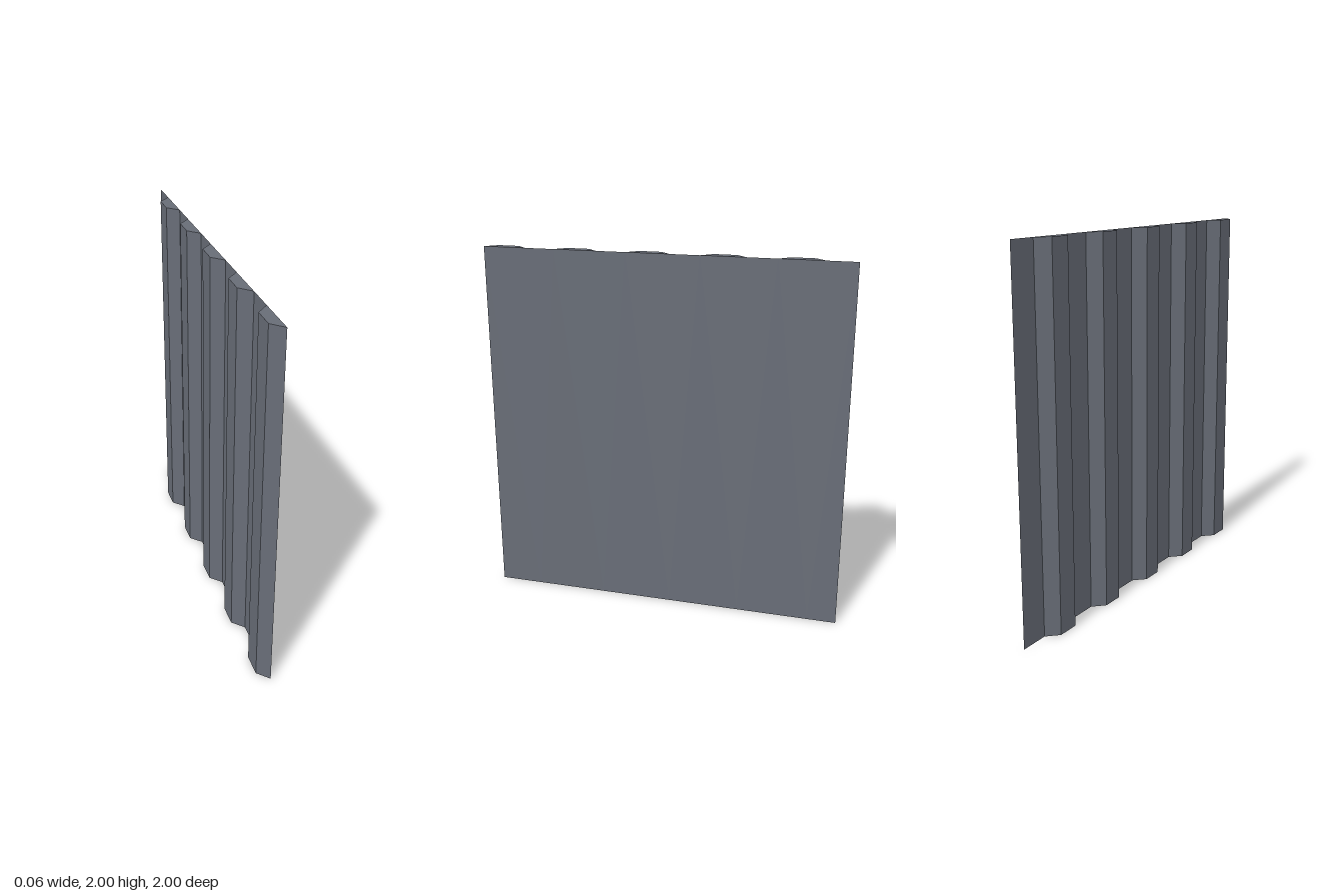
import * as THREE from 'three';

const HEIGHT = 2;
const FACE_X = 0.03; // flat side
const RIB_X = -0.03; // crest of the ribs
const PITCH = 0.4;
const RIB_WIDTH = 0.24;
const SLOPE = 0.06;

export function createModel() {
  const group = new THREE.Group();
  group.name = 'ribbedWallPanel';
  const steel = new THREE.MeshStandardMaterial({ color: 0x686d77, side: THREE.DoubleSide });
  steel.name = 'greySteel';

  // Trapezoid rib section, centred on its own width (shape y becomes -z)
  const h = RIB_WIDTH / 2;
  const section = new THREE.Shape([
    new THREE.Vector2(FACE_X, -h),
    new THREE.Vector2(FACE_X, h),
    new THREE.Vector2(RIB_X, h - SLOPE),
    new THREE.Vector2(RIB_X, -h + SLOPE),
  ]);
  const ribGeometry = new THREE.ExtrudeGeometry(section, { depth: HEIGHT, bevelEnabled: false });
  ribGeometry.rotateX(-Math.PI / 2);

  // Flat sheet web between ribs, facing +x
  const webWidth = PITCH - RIB_WIDTH;
  const webGeometry = new THREE.PlaneGeometry(webWidth, HEIGHT);
  webGeometry.rotateY(Math.PI / 2);

  for (let i = 0; i < 5; i++) {
    const start = -1 + i * PITCH;

    const web = new THREE.Mesh(webGeometry, steel);
    web.name = `sheetWeb${i + 1}`;
    web.position.set(FACE_X, HEIGHT / 2, start + webWidth / 2);

    const rib = new THREE.Mesh(ribGeometry, steel);
    rib.name = `rib${i + 1}`;
    rib.position.z = start + webWidth + h;

    group.add(web, rib);
  }
  return group;
}
